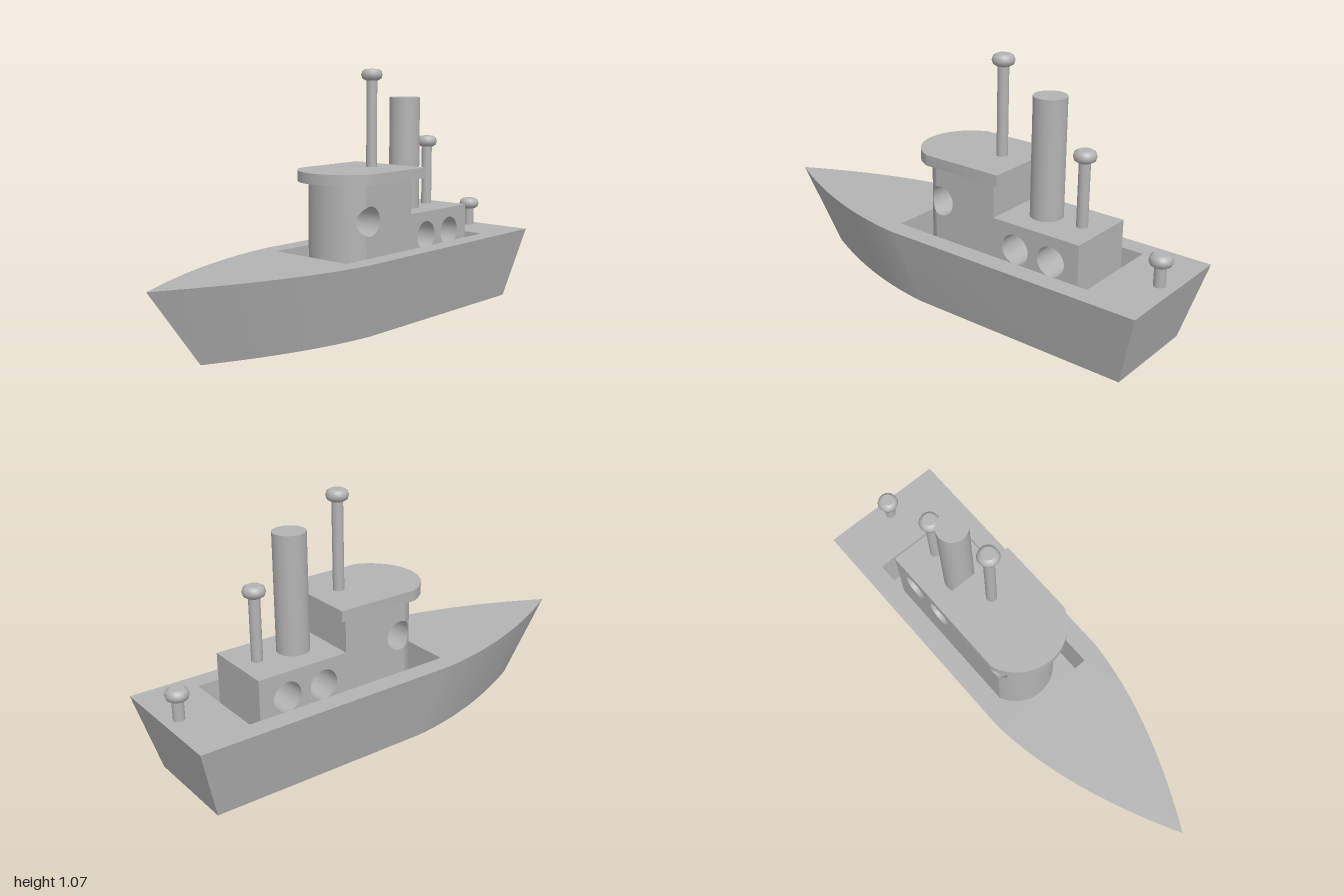
import * as THREE from 'three';
import { toCreasedNormals } from 'three/addons/utils/BufferGeometryUtils.js';

const DECK = 0.315, FLOOR = 0.1;
const WELL = { x: 0.197, back: -0.75, front: 0.18 };

// Smooth shallow angles, keep real edges sharp (enlarged so small details stay distinct)
function crease(geometry) {
  geometry.scale(100, 100, 100);
  const out = toCreasedNormals(geometry, 0.6);
  out.scale(0.01, 0.01, 0.01);
  return out;
}

// Tapered hull with a rectangular well cut into the deck
function hullGeometry() {
  const outline = new THREE.Shape();
  outline.moveTo(-0.282, -1);
  outline.lineTo(0.282, -1);
  outline.lineTo(0.282, 0.15);
  outline.quadraticCurveTo(0.25, 0.54, 0, 1);
  outline.quadraticCurveTo(-0.25, 0.54, -0.282, 0.15);
  outline.closePath();
  const well = new THREE.Path();
  well.moveTo(-WELL.x, WELL.back);
  well.lineTo(-WELL.x, WELL.front);
  well.lineTo(WELL.x, WELL.front);
  well.lineTo(WELL.x, WELL.back);
  well.closePath();
  outline.holes.push(well);

  const g = new THREE.ExtrudeGeometry(outline, { depth: DECK, bevelEnabled: false, curveSegments: 24 });
  g.rotateX(Math.PI / 2).translate(0, DECK, 0);
  // Draw the outer skin inward towards the keel; the well stays upright
  const p = g.attributes.position;
  for (let i = 0; i < p.count; i++) {
    const x = p.getX(i), z = p.getZ(i), t = 1 - p.getY(i) / DECK;
    const inWell = Math.abs(x) < WELL.x + 0.001 && z > WELL.back - 0.001 && z < WELL.front + 0.001;
    if (inWell) continue;
    p.setX(i, x * (1 - 0.235 * t));
    p.setZ(i, z * (1 - 0.16 * t) - 0.075 * t);
  }
  return crease(g);
}

// Block made of thin cross-sections along z, with round portholes bored through along x
function boredBlock(stations, halfWidth, top, holes) {
  const zs = [...stations];
  for (const h of holes) {
    for (let i = 0; i <= 24; i++) zs.push(h.z - h.r * Math.cos(Math.PI * i / 24));
  }
  zs.sort((a, b) => a - b);
  const pos = [];
  const quad = (a, b, c, d) => pos.push(...a, ...b, ...c, ...a, ...c, ...d);
  const corners = (z, lo, hi) => {
    const w = halfWidth(z);
    return [[w, lo, z], [w, hi, z], [-w, hi, z], [-w, lo, z]];
  };
  const slab = (A, B) => {
    for (let i = 0; i < 4; i++) {
      const j = (i + 1) % 4;
      quad(A[i], A[j], B[j], B[i]);
    }
  };
  for (let i = 0; i + 1 < zs.length; i++) {
    const z0 = zs[i], z1 = zs[i + 1];
    if (z1 - z0 < 1e-6) continue;
    const hole = holes.find(h => Math.abs((z0 + z1) / 2 - h.z) < h.r);
    if (!hole) {
      slab(corners(z0, FLOOR, top), corners(z1, FLOOR, top));
      continue;
    }
    const rise = z => Math.sqrt(Math.max(0, hole.r ** 2 - (z - hole.z) ** 2));
    slab(corners(z0, FLOOR, hole.y - rise(z0)), corners(z1, FLOOR, hole.y - rise(z1)));
    slab(corners(z0, hole.y + rise(z0), top), corners(z1, hole.y + rise(z1), top));
  }
  // End walls
  const A = corners(zs[0], FLOOR, top), B = corners(zs[zs.length - 1], FLOOR, top);
  quad(A[3], A[2], A[1], A[0]);
  quad(B[0], B[1], B[2], B[3]);
  const g = new THREE.BufferGeometry();
  g.setAttribute('position', new THREE.Float32BufferAttribute(pos, 3));
  return crease(g);
}

// Roof slab with a bowed front edge
function roofGeometry() {
  const R = 0.208, cz = -0.043, a = Math.acos(0.195 / R);
  const s = new THREE.Shape();
  s.moveTo(-0.195, -0.325);
  s.lineTo(0.195, -0.325);
  s.absarc(0, cz, R, a, Math.PI - a, false);
  s.closePath();
  const g = new THREE.ExtrudeGeometry(s, { depth: 0.045, bevelEnabled: false, curveSegments: 32 });
  g.rotateX(Math.PI / 2).translate(0, 0.655, 0);
  return crease(g);
}

export function createModel() {
  const model = new THREE.Group();
  model.name = 'boat';
  const grey = new THREE.MeshStandardMaterial({ color: 0xb3b3b3 });
  grey.name = 'grey';
  const add = (name, geometry, parent = model) => {
    const mesh = new THREE.Mesh(geometry, grey);
    mesh.name = name;
    parent.add(mesh);
    return mesh;
  };

  add('hull', hullGeometry());

  // Well floor fills the bottom of the cut-out
  add('wellFloor', new THREE.BoxGeometry(WELL.x * 2, FLOOR, WELL.front - WELL.back))
    .position.set(0, FLOOR / 2, (WELL.front + WELL.back) / 2);

  // Wheelhouse with rounded front
  const R = 0.17, cz = -0.055, side = 0.155, start = Math.acos(side / R);
  const stations = [-0.28];
  for (let i = 0; i <= 24; i++) {
    stations.push(cz + R * Math.sin(start + (Math.PI / 2 - start) * i / 24));
  }
  const bowed = z => z < cz ? side : Math.min(side, Math.sqrt(Math.max(0, R * R - (z - cz) ** 2)));
  add('wheelhouse', boredBlock(stations, bowed, 0.61, [{ z: -0.01, y: 0.455, r: 0.062 }]));
  add('roof', roofGeometry());

  // Low rear cabin with two portholes
  add('rearCabin', boredBlock([-0.68, -0.28], () => side, 0.455, [
    { z: -0.387, y: 0.35, r: 0.062 },
    { z: -0.555, y: 0.35, r: 0.062 },
  ]));

  add('funnel', new THREE.CylinderGeometry(0.067, 0.067, 0.49, 40)).position.set(0, 0.7, -0.425);

  // Posts with flattened round knobs
  const knobProfile = [[0, -0.024], [0.028, -0.024], [0.028, -0.024], [0.041, -0.016], [0.046, 0],
    [0.041, 0.016], [0.028, 0.024], [0.028, 0.024], [0, 0.024]].map(([x, y]) => new THREE.Vector2(x, y));
  const post = (name, z, bottom, top) => {
    const group = new THREE.Group();
    group.name = name;
    group.position.z = z;
    model.add(group);
    const h = top - 0.024 - bottom;
    add('pole', new THREE.CylinderGeometry(0.023, 0.023, h, 24), group).position.y = bottom + h / 2;
    add('knob', new THREE.LatheGeometry(knobProfile, 32), group).position.y = top - 0.024;
  };
  post('mainMast', -0.2, 0.65, 1.07);
  post('rearMast', -0.59, 0.45, 0.765);
  post('sternPost', -0.935, 0.31, 0.443);

  return model;
}
